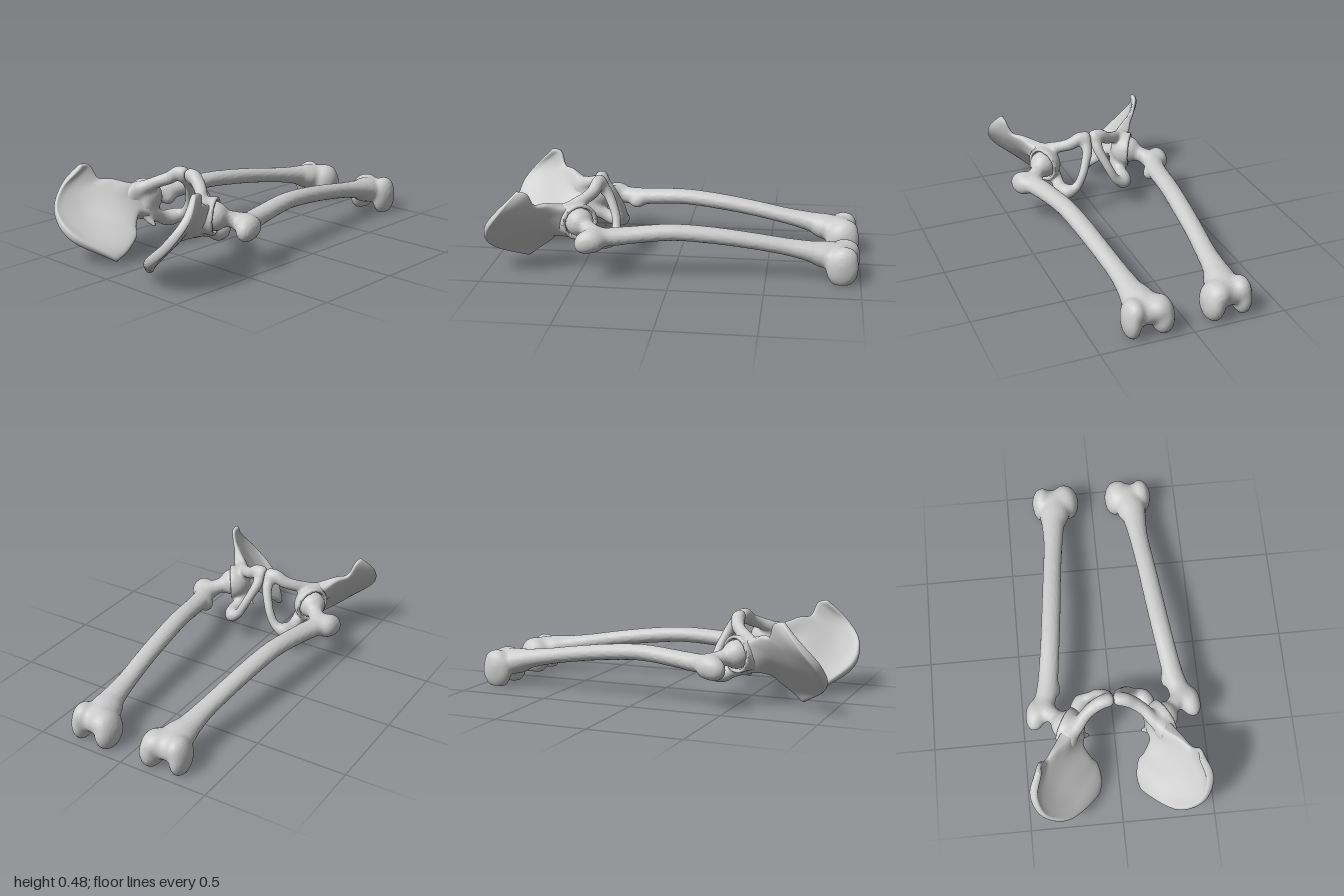
import * as THREE from 'three';
import { mergeVertices } from 'three/addons/utils/BufferGeometryUtils.js';

const V = (a) => new THREE.Vector3(a[0], a[1], a[2]);
const spline = (pts) => new THREE.CatmullRomCurve3(pts, false, 'catmullrom', 0.5);
const material = new THREE.MeshStandardMaterial({ color: 0xcccccc, roughness: 0.8 });

function indexed(pos, index) {
  const g = new THREE.BufferGeometry();
  g.setAttribute('position', new THREE.Float32BufferAttribute(pos, 3));
  g.setIndex(index);
  return g;
}

// Distance to an ellipsoid
const ball = (c, r) => (x, y, z) => {
  const a = (x - c[0]) / r[0], b = (y - c[1]) / r[1], d = (z - c[2]) / r[2];
  const k = Math.hypot(a, b, d);
  return (k * (k - 1)) / (Math.hypot(a / r[0], b / r[1], d / r[2]) + 1e-6);
};

// Distance to a smooth tube through points [x, y, z, radius]; squash flattens it in y
function tube(pts, squash = 1, n = 20) {
  const path = spline(pts.map(V)), radii = spline(pts.map((p) => V([p[3], 0, 0])));
  const s = [];
  for (let i = 0; i <= n; i++) {
    const p = path.getPoint(i / n);
    s.push([p.x, p.y / squash, p.z, radii.getPoint(i / n).x]);
  }
  return (x, y0, z) => {
    const y = y0 / squash;
    let best = Infinity;
    for (let i = 0; i < n; i++) {
      const a = s[i], b = s[i + 1];
      const dx = b[0] - a[0], dy = b[1] - a[1], dz = b[2] - a[2];
      const px = x - a[0], py = y - a[1], pz = z - a[2];
      const t = Math.min(1, Math.max(0, (px * dx + py * dy + pz * dz) / (dx * dx + dy * dy + dz * dz)));
      const d = Math.sqrt((px - t * dx) ** 2 + (py - t * dy) ** 2 + (pz - t * dz) ** 2);
      best = Math.min(best, d - a[3] - t * (b[3] - a[3]));
    }
    return best;
  };
}

// Melt several shapes into one, with fillets of size k
const blend = (shapes, k) => (x, y, z) => shapes.reduce((d, shape) => {
  const e = shape(x, y, z), h = Math.max(0, k - Math.abs(d - e)) / k;
  return Math.min(d, e) - (h * h * k) / 4;
}, 10);

// Skin a distance function: one point per crossed cell, one quad per crossed edge
function skin(min, max, h, f) {
  const n = max.map((m, a) => Math.ceil((m - min[a]) / h) + 1);
  const step = [1, n[0], n[0] * n[1]];
  const val = new Float32Array(step[2] * n[2]), vert = new Int32Array(val.length);
  const pos = [], index = [];
  const each = (trim, visit) => {
    for (let k = 0; k < n[2] - trim; k++)
      for (let j = 0; j < n[1] - trim; j++)
        for (let i = 0; i < n[0] - trim; i++) visit([i, j, k], i + j * step[1] + k * step[2]);
  };
  each(0, (g, id) => { val[id] = f(...g.map((c, a) => min[a] + c * h)); });
  each(1, (g, id) => {
    const sum = [0, 0, 0];
    let count = 0;
    for (let c = 0; c < 8; c++) {
      const bits = [c & 1, (c >> 1) & 1, c >> 2];
      const p = id + bits[0] + bits[1] * step[1] + bits[2] * step[2];
      for (let a = 0; a < 3; a++) {
        if (bits[a]) continue;
        const v0 = val[p], v1 = val[p + step[a]];
        if (v0 < 0 === v1 < 0) continue;
        for (let q = 0; q < 3; q++) sum[q] += bits[q] + (q === a ? v0 / (v0 - v1) : 0);
        count++;
      }
    }
    if (!count) return;
    vert[id] = pos.length / 3;
    for (let q = 0; q < 3; q++) pos.push(min[q] + (g[q] + sum[q] / count) * h);
  });
  each(1, (g, id) => {
    for (let a = 0; a < 3; a++) {
      const b = (a + 1) % 3, c = (a + 2) % 3, inside = val[id] < 0;
      if (!g[b] || !g[c] || inside === val[id + step[a]] < 0) continue;
      const q = [id, id - step[b], id - step[b] - step[c], id - step[c]].map((p) => vert[p]);
      if (!inside) q.reverse();
      index.push(q[0], q[1], q[2], q[0], q[2], q[3]);
    }
  });
  const geometry = indexed(pos, index);
  geometry.computeVertexNormals();
  return geometry;
}

// Iliac wing: rows run from the front edge to the rear edge, neck first, crest last
function wing() {
  const rows = [
    [[.24, .355, .54], [.24, .32, .55], [.235, .27, .55], [.215, .22, .55], [.19, .18, .55]],
    [[.285, .365, .60], [.275, .33, .61], [.26, .28, .615], [.23, .23, .615], [.195, .195, .61]],
    [[.335, .388, .66], [.325, .335, .69], [.295, .28, .71], [.23, .22, .70], [.15, .165, .665]],
    [[.38, .395, .715], [.395, .335, .80], [.35, .25, .84], [.24, .165, .81], [.115, .125, .69]],
    [[.41, .465, .745], [.44, .36, .855], [.395, .255, .935], [.275, .15, .905], [.10, .065, .765]],
    [[.415, .48, .80], [.462, .375, .90], [.415, .255, .985], [.28, .14, .985], [.12, .018, .83]],
  ].map((row) => spline(row.map(V)));
  const thick = spline([.04, .038, .022, .013, .014, .022].map((t) => V([t, 0, 0])));
  const at = (u, v) => spline(rows.map((r) => r.getPoint(v))).getPoint(u);
  const rings = 44, sides = 60, pos = [], index = [];
  for (let i = 0; i <= rings; i++) {
    const t = 0.5 - 0.5 * Math.cos((Math.PI * i) / rings);
    // Rounded crest
    const e = Math.min(1, (1 - t) / 0.05), round = Math.sqrt(1 - (1 - e) ** 2);
    for (let j = 0; j < sides; j++) {
      const a = (j / sides) * Math.PI * 2, s = Math.sin(a), v = 0.5 - 0.5 * Math.cos(a), h = 0.01;
      const n = at(t, Math.min(1, v + h)).sub(at(t, Math.max(0, v - h)))
        .cross(at(Math.min(1, t + h), v).sub(at(Math.max(0, t - h), v))).normalize();
      // Heavier toward the front spine and the sacral end
      const w = (thick.getPoint(t).x + 0.02 * v ** 3 + 0.008 * (1 - v) ** 4) * round;
      pos.push(...at(t, v).addScaledVector(n, w * Math.sign(s) * Math.sqrt(Math.abs(s))).toArray());
      if (i === rings) continue;
      const p = i * sides + j, q = i * sides + ((j + 1) % sides);
      index.push(p, q, p + sides, q, q + sides, p + sides);
    }
  }
  const g = mergeVertices(indexed(pos, index), 1e-5);
  g.computeVertexNormals();
  return g;
}

// Socket, pubis and ischium in one ring around the opening
function pelvicRing() {
  const hip = [.265, .272, .502], out = V([.85, -.05, -.5]).normalize();
  const cup = ball(hip, [.1, .1, .1]), hollow = ball(hip, [.081, .081, .081]);
  const solid = blend([
    // Half-bowl cut by a plane facing outward and back
    (x, y, z) => Math.max(cup(x, y, z),
      (x - hip[0]) * out.x + (y - hip[1]) * out.y + (z - hip[2]) * out.z - 0.012),
    // Neck under the wing
    ball([.25, .28, .585], [.042, .085, .06]),
    // Upper pubic branch
    tube([[.25, .32, .575, .042], [.205, .345, .54, .036], [.16, .372, .49, .032],
      [.11, .395, .455, .034], [.065, .425, .44, .036], [.03, .432, .435, .034]]),
    // Midline joint and lower branch
    tube([[.03, .405, .42, .034], [.035, .36, .385, .028], [.06, .30, .355, .025],
      [.085, .245, .335, .024], [.115, .19, .33, .025], [.15, .16, .335, .03], [.185, .145, .365, .036]]),
    // Sitting bone
    tube([[.215, .23, .55, .045], [.20, .19, .50, .04], [.195, .165, .45, .034],
      [.195, .145, .40, .042], [.175, .15, .345, .037]]),
    // Ischial spine
    tube([[.20, .19, .54, .025], [.175, .165, .54, .018], [.15, .145, .535, .01]], 1, 6),
  ], 0.022);
  return skin([-.02, .07, .26], [.36, .5, .68], .009,
    (x, y, z) => Math.max(solid(x, y, z), -hollow(x, y, z), 0.0005 - x));
}

// Thigh bone, flat where it rests on the ground
function femur() {
  const solid = blend([
    // Shaft
    tube([[.215, .125, -.87, .085], [.225, .134, -.81, .084], [.237, .152, -.74, .066],
      [.247, .178, -.6, .053], [.268, .212, -.4, .051], [.287, .238, -.2, .052],
      [.308, .252, 0, .052], [.334, .238, .2, .054], [.352, .23, .3, .057], [.385, .23, .4, .056]], 0.83, 26),
    // Knee end: body, two condyles and the ridges of the kneecap groove
    ball([.215, .115, -.9], [.12, .062, .068]),
    ball([.138, .085, -.905], [.058, .1, .092]),
    ball([.30, .085, -.9], [.047, .1, .084]),
    ball([.165, .14, -.92], [.05, .052, .065]),
    ball([.285, .145, -.915], [.04, .052, .06]),
    // Neck
    tube([[.275, .268, .49, .05], [.315, .258, .45, .043], [.36, .24, .40, .046]], 1, 6),
    // Greater and lesser trochanters
    ball([.42, .222, .415], [.052, .062, .076]),
    ball([.436, .207, .452], [.032, .042, .042]),
    ball([.305, .205, .28], [.028, .03, .038]),
  ], 0.028);
  const head = ball([.265, .272, .502], [.076, .076, .076]);
  const all = blend([solid, head], 0.012);
  return skin([.05, -.02, -1.02], [.51, .37, .6], .011, (x, y, z) => Math.max(all(x, y, z), -y));
}

// Reflect a geometry across x = 0, keeping its faces outward
function mirror(geometry) {
  const g = geometry.clone().scale(-1, 1, 1);
  g.index.array.reverse();
  g.computeVertexNormals();
  return g;
}

export function createModel() {
  const parts = { IliacWing: wing(), PelvicRing: pelvicRing(), Femur: femur() };
  const model = new THREE.Group();
  model.name = 'pelvisAndThighBones';
  for (const side of ['left', 'right']) {
    for (const [part, geometry] of Object.entries(parts)) {
      const mesh = new THREE.Mesh(side === 'left' ? geometry : mirror(geometry), material);
      mesh.name = side + part;
      model.add(mesh);
    }
  }
  return model;
}
